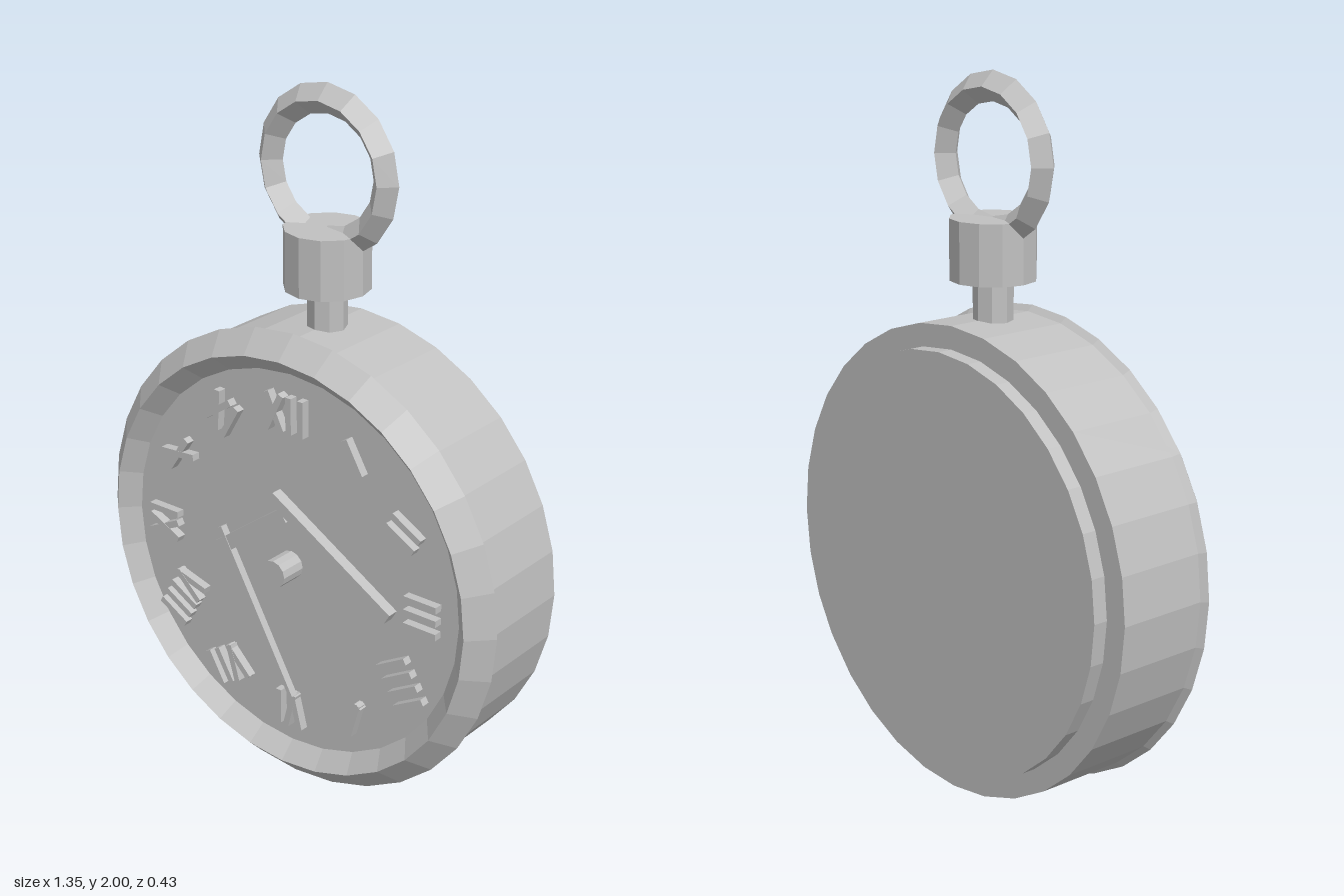
import * as THREE from 'three';

export function createModel() {
  const model = new THREE.Group();
  model.name = 'pocketWatch';
  const metal = new THREE.MeshStandardMaterial({ color: 0xc0c0c0, flatShading: true });
  metal.name = 'grey metal';

  const CY = 0.679; // height of the dial centre
  const DIAL = 0.135; // z of the dial face

  function add(parent, name, geometry, x = 0, y = 0, z = 0) {
    const mesh = new THREE.Mesh(geometry, metal);
    mesh.name = name;
    mesh.position.set(x, y, z);
    parent.add(mesh);
    return mesh;
  }

  // Disc with its axis along z, between two depths
  function disc(name, radius, z0, z1, sides) {
    const geometry = new THREE.CylinderGeometry(radius, radius, z1 - z0, sides);
    geometry.rotateX(Math.PI / 2);
    return add(model, name, geometry, 0, CY, (z0 + z1) / 2);
  }

  // Thin straight bar between two points of a plane
  function bar(parent, name, x0, y0, x1, y1, width, z0, z1) {
    const length = Math.hypot(x1 - x0, y1 - y0);
    const mesh = add(parent, name, new THREE.BoxGeometry(length, width, z1 - z0),
      (x0 + x1) / 2, (y0 + y1) / 2, (z0 + z1) / 2);
    mesh.rotation.z = Math.atan2(y1 - y0, x1 - x0);
    return mesh;
  }

  // Case, back cover and diamond-section bezel
  disc('case', 0.661, -0.17, DIAL, 32);
  disc('backCover', 0.597, -0.214, -0.165, 32);
  add(model, 'bezel', new THREE.TorusGeometry(0.615, 0.062, 4, 32), 0, CY, 0.122);
  disc('centrePin', 0.04, DIAL - 0.01, 0.214, 12);

  // Stem, crown and hanging ring
  const crownZ = -0.021;
  add(model, 'stem', new THREE.CylinderGeometry(0.055, 0.055, 0.14, 8), 0, 1.386, crownZ);
  add(model, 'crown', new THREE.CylinderGeometry(0.119, 0.119, 0.167, 12), 0, 1.53, crownZ);
  add(model, 'hangingRing', new THREE.TorusGeometry(0.192, 0.041, 4, 16), 0, 1.767, crownZ);

  // Hands
  const hands = new THREE.Group();
  hands.name = 'hands';
  hands.position.y = CY;
  model.add(hands);
  bar(hands, 'minuteHand', -0.03, 0.216, 0.37, -0.022, 0.034, 0.155, 0.188);
  bar(hands, 'hourHand', -0.24, -0.014, 0.01, 0.17, 0.042, 0.155, 0.185);
  bar(hands, 'secondHand', -0.217, 0.065, 0.036, -0.39, 0.013, 0.165, 0.187);

  // Raised numerals, each built from strokes
  const numerals = ['XII', 'I', 'II', 'III', 'IIII', 'V', 'VI', 'VII', 'VIII', 'IX', 'X', 'XI'];
  const advance = { I: 0.04, V: 0.062, X: 0.064 };
  const strokes = {
    I: [[0, 0]],
    V: [[-0.024, 0.003], [0.024, -0.003]],
    X: [[-0.026, 0.026], [0.026, -0.026]],
  };
  numerals.forEach((text, hour) => {
    const angle = hour * Math.PI / 6;
    const group = new THREE.Group();
    group.name = 'numeral' + (hour || 12);
    group.position.set(0.455 * Math.sin(angle), CY + 0.455 * Math.cos(angle), 0);
    group.rotation.z = angle;
    model.add(group);
    const width = [...text].reduce((sum, c) => sum + advance[c], 0);
    let x = -width / 2;
    for (const c of text) {
      x += advance[c] / 2;
      strokes[c].forEach(([top, bottom], i) => {
        bar(group, 'stroke', x + bottom, -0.053, x + top, 0.053, 0.019,
          DIAL - 0.01, 0.16 + i * 0.001);
      });
      x += advance[c] / 2;
    }
  });

  return model;
}
